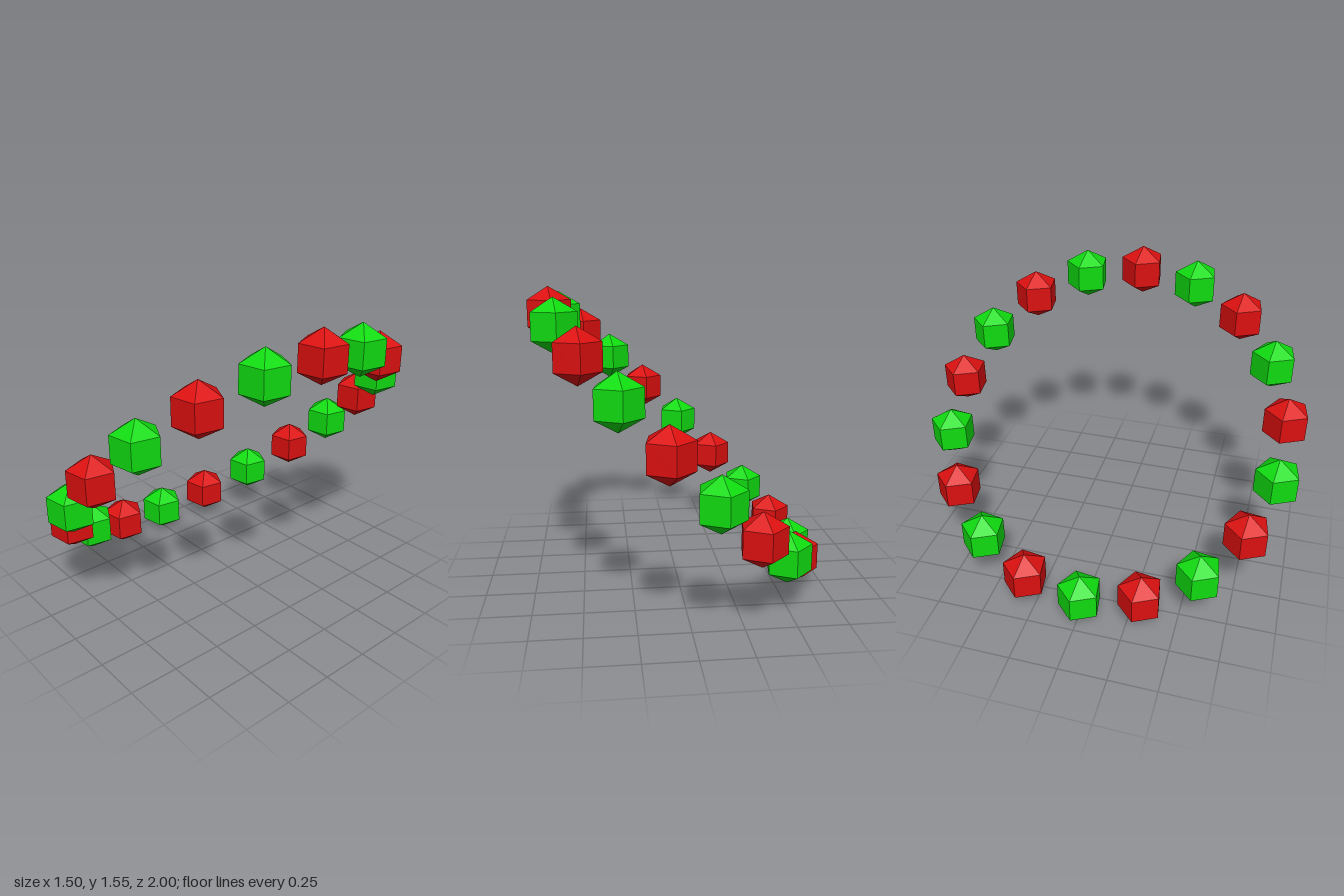
import * as THREE from 'three';

export function createModel() {
  const group = new THREE.Group();
  group.name = 'beadRing';

  const red = new THREE.MeshStandardMaterial({ color: 0xdc1010 });
  red.name = 'red';
  const green = new THREE.MeshStandardMaterial({ color: 0x10dc10 });
  green.name = 'green';

  // Five-sided low-poly bead with flat faces, shared by the whole ring
  const beadRadius = 0.134;
  const bead = new THREE.SphereGeometry(beadRadius, 5, 3, -Math.PI / 20).toNonIndexed();
  bead.computeVertexNormals();

  // Beads alternate around a circle tilted 45 degrees, each bead staying upright
  const count = 18;
  const ringRadius = 0.906;
  const slope = ringRadius * Math.SQRT1_2;
  for (let i = 0; i < count; i++) {
    const a = (i / count) * Math.PI * 2;
    const isRed = i % 2 === 0;
    const mesh = new THREE.Mesh(bead, isRed ? red : green);
    mesh.name = (isRed ? 'redBead' : 'greenBead') + (i + 1);
    mesh.position.set(
      slope * Math.cos(a) + 0.005,
      beadRadius + slope * (1 + Math.cos(a)),
      ringRadius * Math.sin(a) + 0.005
    );
    group.add(mesh);
  }
  return group;
}
